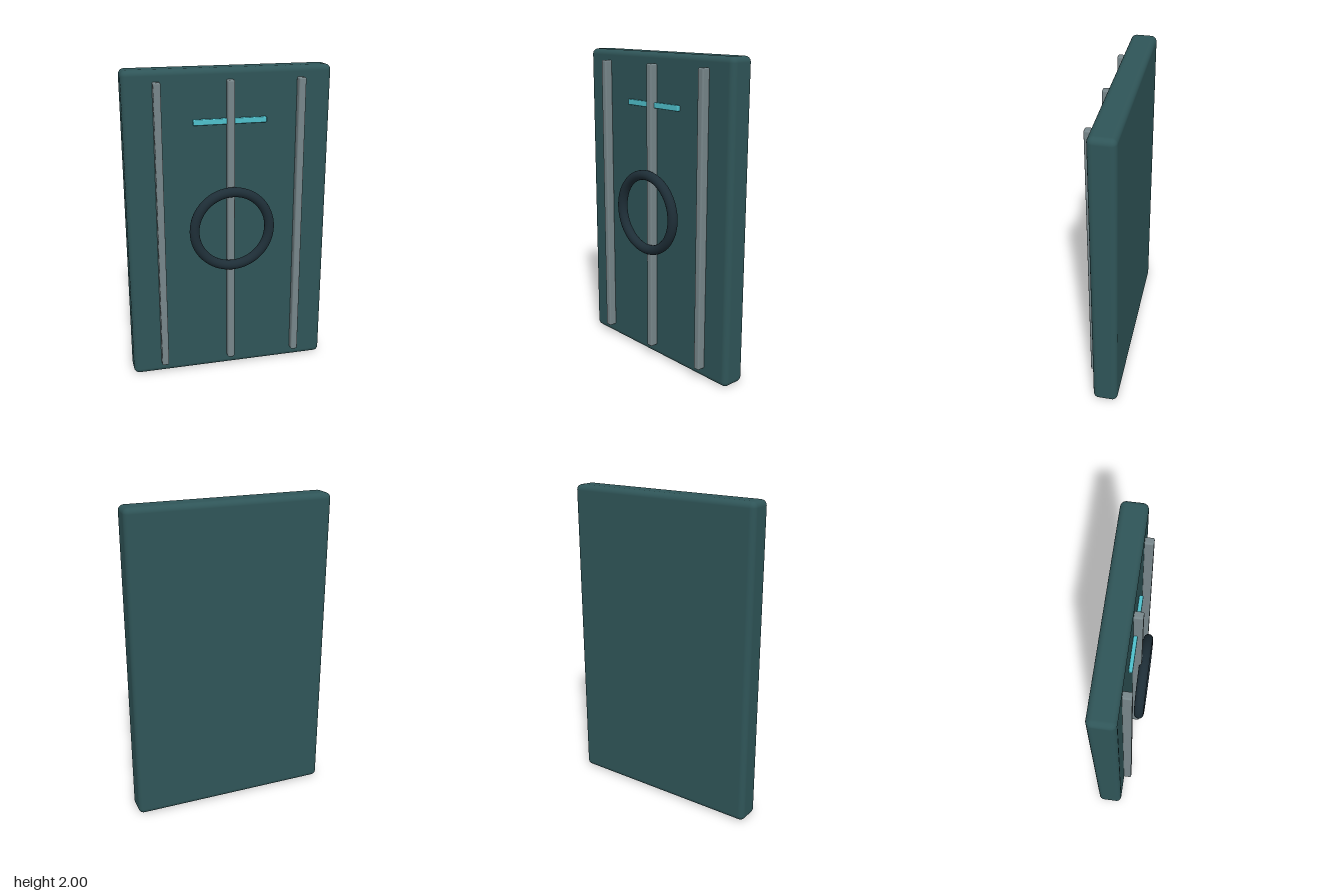
import * as THREE from 'three';
import { RoundedBoxGeometry } from 'three/addons/geometries/RoundedBoxGeometry.js';

function material(name, color) {
  const m = new THREE.MeshStandardMaterial({ color });
  m.name = name;
  return m;
}

export function createModel() {
  const group = new THREE.Group();
  group.name = 'doorPanel';

  const teal = material('dark teal', 0x2f5558);
  const grey = material('rail grey', 0x77868a);
  const cyan = material('light cyan', 0x4fc0cc);
  const navy = material('ring navy', 0x1e2e37);

  const add = (name, geometry, mat, x, y, z) => {
    const mesh = new THREE.Mesh(geometry, mat);
    mesh.name = name;
    mesh.position.set(x, y, z);
    group.add(mesh);
  };

  // Main slab with softened edges
  add('slab', new RoundedBoxGeometry(1.3, 2, 0.16, 4, 0.035), teal, 0, 1, -0.05);

  // Three upright rails on the front face
  const railGeometry = new RoundedBoxGeometry(0.045, 1.86, 0.056, 3, 0.01);
  [['rightRail', -0.447], ['middleRail', 0], ['leftRail', 0.447]].forEach(([name, x]) =>
    add(name, railGeometry, grey, x, 1.003, 0.055));

  // Light strip passing behind the front of the middle rail
  add('lightStrip', new RoundedBoxGeometry(0.462, 0.036, 0.024, 2, 0.006), cyan, 0, 1.682, 0.043);

  // Ring handle
  add('ringHandle', new THREE.TorusGeometry(0.243, 0.031, 16, 64), navy, 0, 1.003, 0.099);

  return group;
}
